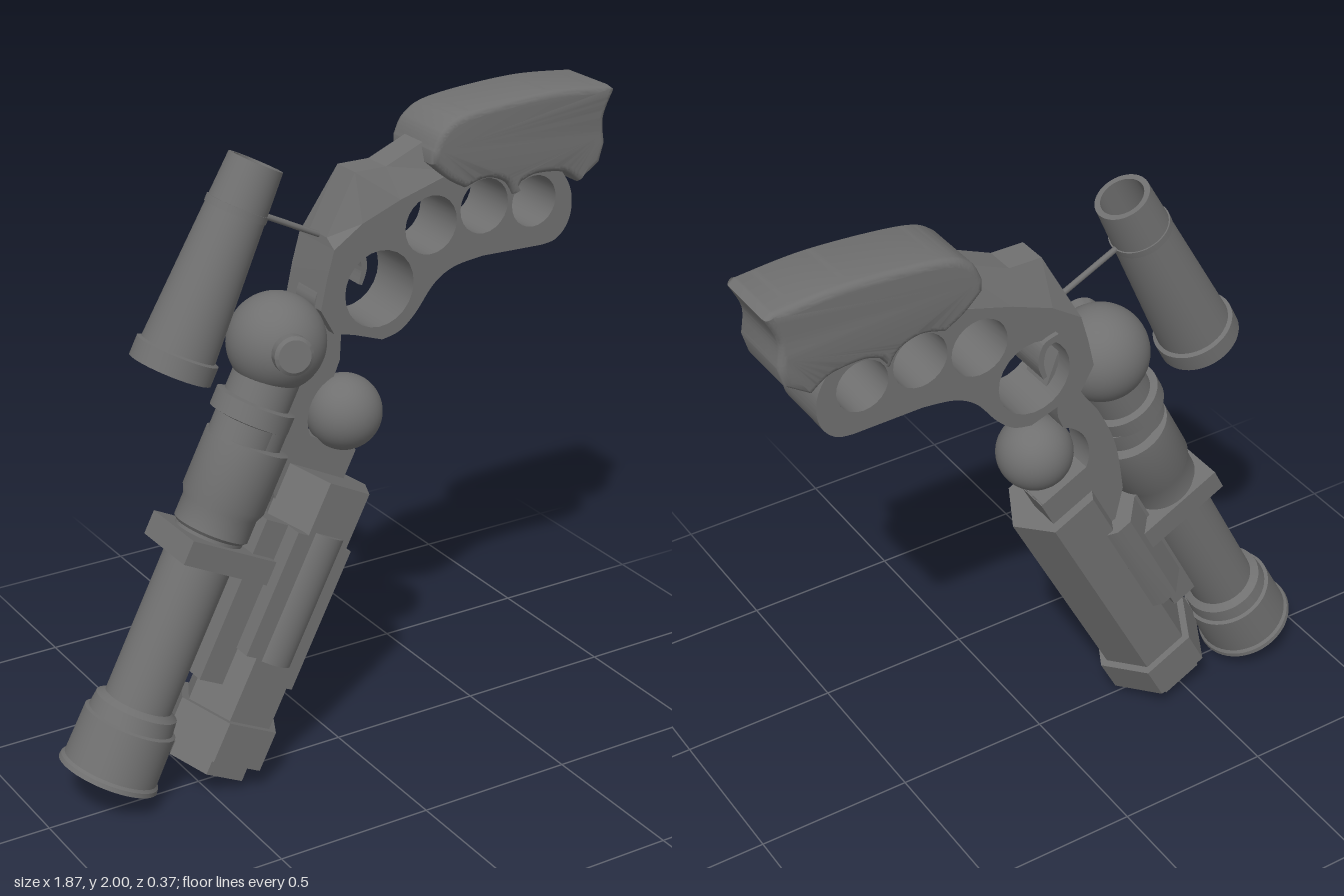
import * as THREE from 'three';
import { toCreasedNormals } from 'three/addons/utils/BufferGeometryUtils.js';

const smooth = new THREE.MeshStandardMaterial({ color: 0x707070, side: THREE.DoubleSide });
const faceted = new THREE.MeshStandardMaterial({ color: 0x707070, flatShading: true, side: THREE.DoubleSide });
const V2 = ([x, y]) => new THREE.Vector2(x, y);

function add(parent, name, geo, x = 0, y = 0, z = 0, mat = smooth) {
  const mesh = new THREE.Mesh(geo, mat);
  mesh.name = name;
  mesh.position.set(x, y, z);
  parent.add(mesh);
  return mesh;
}

const lathe = (pts) => toCreasedNormals(new THREE.LatheGeometry(pts.map(V2), 48), 0.6);

// Extrude a shape between two depths, keeping the outline size when bevelled
function slab(shape, z0, z1, bevel = 0) {
  const geo = new THREE.ExtrudeGeometry(shape, {
    depth: z1 - z0 - 2 * bevel, curveSegments: 12, bevelEnabled: bevel > 0,
    bevelSize: bevel, bevelThickness: bevel, bevelOffset: -bevel, bevelSegments: 5,
  });
  geo.translate(0, 0, z0 + bevel);
  return toCreasedNormals(geo, 0.6);
}

// Outline made of smooth runs; each run starts where the last one ended
function outline(...runs) {
  const s = new THREE.Shape();
  s.moveTo(...runs[0][0]);
  runs.forEach((run, i) => {
    const pts = (i ? run : run.slice(1)).map(V2);
    if (pts.length === 1) s.lineTo(pts[0].x, pts[0].y);
    else s.splineThru(pts);
  });
  return s;
}

function hole(shape, x, y, r) {
  const p = new THREE.Path();
  p.absarc(x, y, r, 0, Math.PI * 2, true);
  shape.holes.push(p);
}

export function createModel() {
  const model = new THREE.Group();
  model.name = 'pistol';

  // Handle plate with finger holes and trigger ring
  const plate = outline(
    [[-0.035, 1.637], [0.06, 1.70]], [[0.19, 1.75]], [[0.36, 1.80]], [[0.72, 1.80]],
    [[0.79, 1.70], [0.805, 1.63], [0.79, 1.57], [0.75, 1.53], [0.70, 1.52]], [[0.48, 1.525]],
    [[0.38, 1.51], [0.31, 1.47], [0.245, 1.39], [0.19, 1.345], [0.13, 1.33]],
    [[0.03, 1.365]], [[-0.035, 1.38]], [[-0.08, 1.46]], [[-0.06, 1.55]]);
  hole(plate, 0.12, 1.49, 0.118);
  hole(plate, 0.297, 1.654, 0.09);
  hole(plate, 0.484, 1.68, 0.085);
  hole(plate, 0.664, 1.664, 0.08);
  add(model, 'handlePlate', slab(plate, -0.16, 0.035));

  // Chamfered spine: wide along the plate, narrow along the back
  const inner = [[-0.035, 1.637], [0.06, 1.70], [0.19, 1.75], [0.40, 1.80]];
  const outer = [[-0.03, 1.66], [0.065, 1.84], [0.17, 1.84], [0.36, 1.92]];
  const pos = [], idx = [];
  inner.forEach(([x, y], i) => {
    const [ox, oy] = outer[i];
    pos.push(x, y, 0.035, ox, oy, -0.015, ox, oy, -0.11, x, y, -0.16);
    if (i) for (let k = 0; k < 4; k++) {
      const a = (i - 1) * 4 + k, b = (i - 1) * 4 + (k + 1) % 4;
      idx.push(a, a + 4, b, b, a + 4, b + 4);
    }
  });
  idx.push(0, 1, 2, 0, 2, 3);
  const spine = new THREE.BufferGeometry();
  spine.setAttribute('position', new THREE.Float32BufferAttribute(pos, 3));
  spine.setIndex(idx);
  spine.computeVertexNormals();
  add(model, 'spine', spine, 0, 0, 0, faceted);

  // Rounded grip with scalloped lower edge
  const grip = outline(
    [[0.29, 1.88], [0.325, 1.94], [0.42, 1.98], [0.70, 2.0], [0.92, 1.985]], [[0.94, 1.97]],
    [[0.905, 1.89], [0.912, 1.81]], [[0.895, 1.75]], [[0.82, 1.70]],
    [[0.76, 1.74], [0.664, 1.75], [0.61, 1.735]], [[0.582, 1.70]],
    [[0.55, 1.745], [0.484, 1.767], [0.41, 1.75]], [[0.35, 1.785], [0.29, 1.84]]);
  add(model, 'grip', slab(grip, -0.178, 0.055, 0.022));

  // Trigger hook
  const trigger = outline([[0.05, 1.62], [0.10, 1.60], [0.117, 1.54], [0.10, 1.485]],
    [[0.088, 1.49]], [[0.098, 1.54], [0.085, 1.585], [0.045, 1.60]]);
  add(model, 'trigger', slab(trigger, -0.175, -0.03));

  // Neck that curves around the ball
  const neck = outline([[0.045, 1.40], [0.01, 1.37]], [[0.005, 1.28]], [[-0.015, 1.232]]);
  neck.absarc(0.024, 1.108, 0.13, 1.85, 4.99, false);
  [[0.01, 0.88], [-0.20, 0.80], [-0.23, 0.93]].forEach(p => neck.lineTo(...p));
  neck.splineThru([[-0.20, 1.10], [-0.14, 1.24], [-0.066, 1.36], [-0.08, 1.48], [-0.02, 1.57]].map(V2));
  add(model, 'neck', slab(neck, -0.105, 0));

  add(model, 'smallBall', new THREE.SphereGeometry(0.116, 40, 28), 0.026, 1.108, -0.012);
  add(model, 'largeBall', new THREE.SphereGeometry(0.147, 48, 32), -0.202, 1.378, -0.013);

  // Stepped knob on the large ball
  const knob = add(model, 'ballKnob',
    lathe([[0, 0.1], [0.045, 0.1], [0.045, 0.152], [0.058, 0.152], [0.058, 0.185], [0.048, 0.193], [0, 0.193]]),
    -0.202, 1.378, -0.013);
  knob.quaternion.setFromUnitVectors(new THREE.Vector3(0, 1, 0), new THREE.Vector3(-0.24, 0.12, 0.96).normalize());

  // Thin rod from the spine to the sight
  const rod = new THREE.LineCurve3(new THREE.Vector3(-0.24, 1.76, -0.06), new THREE.Vector3(-0.025, 1.655, -0.06));
  add(model, 'sightRod', new THREE.TubeGeometry(rod, 1, 0.009, 8));

  // Everything along the tilted barrel axis
  const tilt = new THREE.Group();
  tilt.name = 'barrels';
  tilt.rotation.z = -27 * Math.PI / 180;
  model.add(tilt);
  const box = (name, x0, x1, y0, y1, z0, z1) => add(tilt, name,
    new THREE.BoxGeometry(x1 - x0, y1 - y0, z1 - z0), (x0 + x1) / 2, (y0 + y1) / 2, (z0 + z1) / 2);

  // Hollow tapered sight with rim and band
  add(tilt, 'sight', lathe([[0, 1.0], [0.105, 0.99], [0.112, 0.956], [0.125, 0.956], [0.125, 1.015],
    [0.113, 1.02], [0.083, 1.595], [0.066, 1.595], [0.075, 1.35], [0, 1.35]]), -1.077, 0, -0.058);
  add(tilt, 'sightBand', lathe([[0.085, 1.44], [0.094, 1.44], [0.094, 1.462], [0.085, 1.462]]), -1.077, 0, -0.058);

  // Round barrel with muzzle cup and main collar
  add(tilt, 'roundBarrel', lathe([[0, -0.2], [0.09, -0.2], [0.1, -0.23], [0.14, -0.257], [0.157, -0.257],
    [0.155, -0.243], [0.147, -0.235], [0.144, -0.08], [0.133, -0.075], [0.128, -0.03], [0.105, -0.015],
    [0.105, 0.54], [0.116, 0.55], [0.116, 0.62], [0.128, 0.645], [0.128, 0.83], [0.1, 0.835],
    [0.1, 0.9], [0, 0.9]]), -0.758, 0, -0.02);
  // Upper collar and stub under the large ball
  add(tilt, 'upperCollar', lathe([[0, 0.82], [0.1, 0.82], [0.1, 0.89], [0.122, 0.895], [0.122, 0.95],
    [0.1, 0.955], [0.1, 1.08], [0, 1.08]]), -0.788, 0, -0.015);
  box('barrelClamp', -0.89, -0.585, 0.455, 0.53, -0.135, 0.11);

  // Hexagonal barrel
  const hex = (name, r, y0, y1) => add(tilt, name,
    new THREE.CylinderGeometry(r, r, y1 - y0, 6, 1, false, Math.PI / 2), -0.45, (y0 + y1) / 2, -0.005, faceted);
  hex('hexBarrel', 0.15, 0.0, 0.805);
  hex('hexCollar', 0.175, -0.1, 0.028);
  hex('hexTip', 0.135, -0.155, -0.09);
  box('neckBase', -0.60, -0.39, 0.78, 0.90, -0.105, 0);

  // Front details: half-sunk roll, slim strip and side panel
  const roll = add(tilt, 'frontRoll', new THREE.CylinderGeometry(0.075, 0.075, 0.42, 32), -0.45, 0.44, 0.08);
  roll.scale.z = 0.85;
  box('frontStrip', -0.37, -0.345, 0.16, 0.62, 0.05, 0.113);
  box('frontPanel', -0.575, -0.535, 0.24, 0.64, 0.05, 0.14);

  // Rib between the barrels, with a chamfered panel on its back
  box('barrelRib', -0.655, -0.57, 0.12, 0.64, -0.09, 0.08);
  const wedge = new THREE.Shape([[-0.655, 0.08], [-0.50, 0.08], [-0.50, 0.135], [-0.53, 0.155], [-0.58, 0.155]].map(V2));
  const backPanel = add(tilt, 'backPanel', slab(wedge, 0.24, 0.64));
  backPanel.rotation.x = -Math.PI / 2;
  return model;
}
